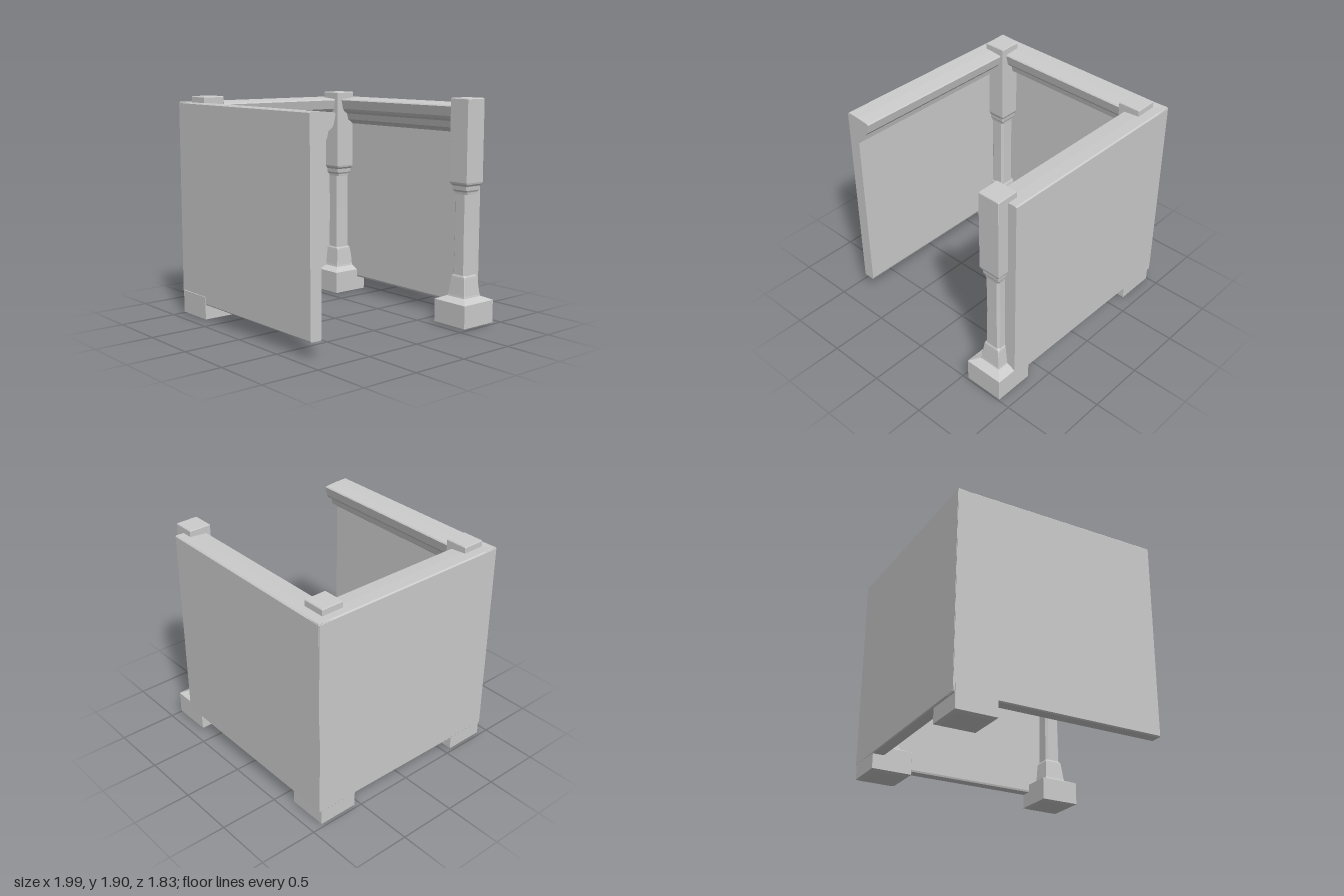
import * as THREE from 'three';

const material = new THREE.MeshStandardMaterial({ color: 0xcccccc, flatShading: true });

// Stack square sections [y, half width, corner chamfer] into one closed solid.
function loftSquare(sections) {
  const pos = [], idx = [];
  for (const [y, h, c] of sections) {
    const k = h - c;
    for (const [x, z] of [[h, -k], [h, k], [k, h], [-k, h], [-h, k], [-h, -k], [-k, -h], [k, -h]]) {
      pos.push(x, y, z);
    }
  }
  const last = (sections.length - 1) * 8;
  for (let r = 0; r < last; r += 8) {
    for (let j = 0; j < 8; j++) {
      const a = r + j, b = r + (j + 1) % 8;
      idx.push(a, a + 8, b, b, a + 8, b + 8);
    }
  }
  for (let j = 1; j < 7; j++) {
    idx.push(0, j, j + 1, last, last + j + 1, last + j);
  }
  const indexed = new THREE.BufferGeometry();
  indexed.setAttribute('position', new THREE.Float32BufferAttribute(pos, 3));
  indexed.setIndex(idx);
  const geometry = indexed.toNonIndexed();
  geometry.computeVertexNormals();
  return geometry;
}

// Wall section: x runs inward from the outer face, with a moulding along the top.
const wallProfile = new THREE.Shape([
  [0.008, 0.14], [0.1, 0.14], [0.105, 0.155], [0.105, 1.605], [0.125, 1.625], [0.158, 1.645],
  [0.172, 1.7], [0.205, 1.722], [0.222, 1.745], [0.24, 1.825], [0.232, 1.835],
  [0.12, 1.845], [0.01, 1.85], [0, 1.84], [0, 0.15],
].map(([x, y]) => new THREE.Vector2(x, y)));

function wall(name, length, x, z, turn) {
  const geometry = new THREE.ExtrudeGeometry(wallProfile, { depth: length, bevelEnabled: false });
  const mesh = new THREE.Mesh(geometry, material);
  mesh.name = name;
  mesh.position.set(x, 0, z);
  mesh.rotation.y = turn;
  return mesh;
}

export function createModel() {
  const model = new THREE.Group();
  model.name = 'enclosure';

  // Three walls, a touch out of square with the posts
  const walls = new THREE.Group();
  walls.name = 'walls';
  walls.rotation.y = -0.009;
  walls.add(
    wall('frontWall', 1.8, -0.987, 0.905, Math.PI / 2),
    wall('sideWall', 1.81, -0.99, -0.909, 0),
    wall('backWall', 1.8, 0.813, -0.912, -Math.PI / 2),
  );
  model.add(walls);

  // Wide foot block with a sloped shoulder
  const footGeometry = loftSquare([
    [0, 0.14, 0.003], [0.015, 0.174, 0.003], [0.21, 0.174, 0.003], [0.243, 0.1, 0.003],
  ]);
  // Tapered plinth, chamfered shaft, collar and square upper block
  const postGeometry = loftSquare([
    [0.235, 0.1, 0.003], [0.26, 0.095, 0.004], [0.4, 0.08, 0.006], [0.415, 0.078, 0.008],
    [0.43, 0.071, 0.018], [0.8, 0.069, 0.02], [1.11, 0.07, 0.018], [1.13, 0.072, 0.01],
    [1.145, 0.08, 0.006], [1.18, 0.083, 0.005], [1.195, 0.094, 0.004],
    [1.21, 0.098, 0.003], [1.893, 0.098, 0.003], [1.9, 0.093, 0.003],
  ]);

  for (const [name, x, z] of [
    ['frontRightPost', -0.808, 0.728],
    ['backRightPost', -0.808, -0.728],
    ['backLeftPost', 0.822, -0.728],
  ]) {
    const post = new THREE.Group();
    post.name = name;
    post.position.set(x, 0, z);
    for (const [part, geometry] of [['foot', footGeometry], ['column', postGeometry]]) {
      const mesh = new THREE.Mesh(geometry, material);
      mesh.name = part;
      post.add(mesh);
    }
    model.add(post);
  }
  return model;
}
